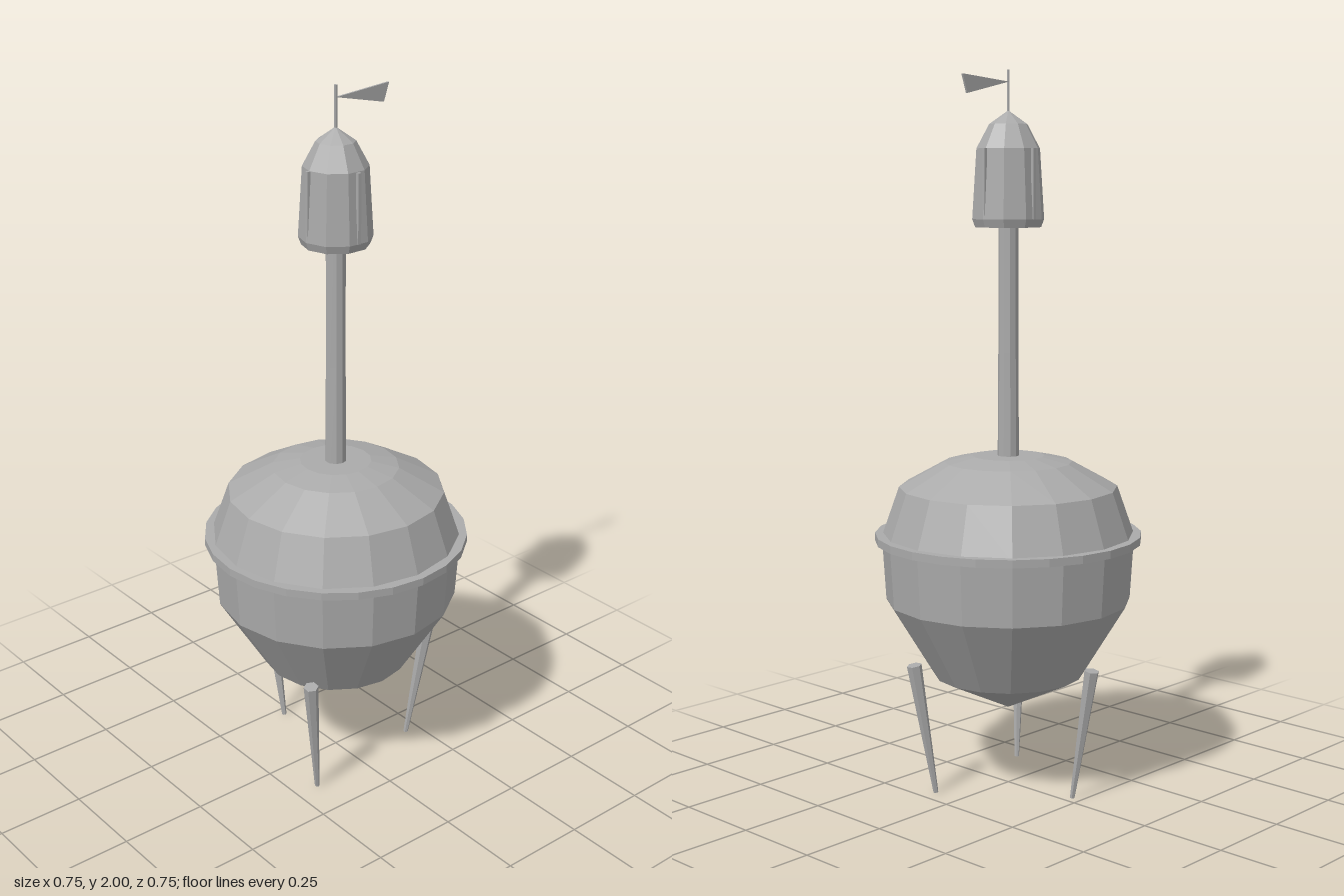
import * as THREE from 'three';

export function createModel() {
  const model = new THREE.Group();
  const metal = new THREE.MeshStandardMaterial({ color: 0xaaaaaa, flatShading: true, side: THREE.DoubleSide });
  metal.name = 'grey metal';

  const add = (name, geometry, parent = model) => {
    const mesh = new THREE.Mesh(geometry, metal);
    mesh.name = name;
    parent.add(mesh);
    return mesh;
  };
  const lathe = (points, sides, start = 0) =>
    new THREE.LatheGeometry(points.map(([r, y]) => new THREE.Vector2(r, y)), sides, start);

  // Faceted buoy body with a shallow pointed keel
  add('body', lathe([[0, 0.222], [0.21, 0.323], [0.343, 0.54], [0.354, 0.72],
    [0.305, 0.86], [0.178, 0.93], [0.1, 0.947], [0, 0.947]], 16));

  // Flange around the waist
  add('waistRing', lathe([[0.34, 0.708], [0.373, 0.708], [0.373, 0.73], [0.34, 0.73]], 24));

  // Two-stage pole
  const lowerPole = add('lowerPole', new THREE.CylinderGeometry(0.028, 0.03, 0.3, 10));
  lowerPole.position.y = 1.085;
  const upperPole = add('upperPole', new THREE.CylinderGeometry(0.027, 0.028, 0.57, 10));
  upperPole.position.y = 1.505;

  // Lantern: tapered housing open underneath, faceted cap and four corner rods
  const lantern = new THREE.Group();
  lantern.name = 'lantern';
  model.add(lantern);
  add('lanternHousing', lathe([[0.092, 1.578], [0.1, 1.6], [0.088, 1.79]], 10, Math.PI / 2), lantern);
  add('lanternCap', lathe([[0.088, 1.79], [0.053, 1.855], [0, 1.892]], 10, Math.PI / 2), lantern);
  for (let i = 0; i < 4; i++) {
    const a = i * Math.PI / 2;
    const rod = add('lanternRod', new THREE.BoxGeometry(0.01, 0.19, 0.01), lantern);
    rod.position.set(0.093 * Math.cos(a), 1.695, 0.093 * Math.sin(a));
  }

  // Mast and drooping pennant
  const mast = add('mast', new THREE.CylinderGeometry(0.004, 0.004, 0.12, 6));
  mast.position.y = 1.94;
  const outline = new THREE.Shape([[0, 1.968], [0.16, 1.932], [0.177, 1.982]]
    .map(([x, y]) => new THREE.Vector2(x, y)));
  const pennant = add('pennant', new THREE.ExtrudeGeometry(outline, { depth: 0.006, bevelEnabled: false }));
  pennant.position.z = -0.003;

  // Three tapered legs splayed outward
  const up = new THREE.Vector3(0, 1, 0);
  for (let i = 0; i < 3; i++) {
    const a = THREE.MathUtils.degToRad(23.3 + i * 120);
    const at = (r, y) => new THREE.Vector3(r * Math.cos(a), y, r * Math.sin(a));
    const foot = at(0.222, 0.001), top = at(0.284, 0.376);
    const leg = add('leg', new THREE.CylinderGeometry(0.021, 0.007, foot.distanceTo(top), 6));
    leg.position.copy(foot).add(top).multiplyScalar(0.5);
    leg.quaternion.setFromUnitVectors(up, top.sub(foot).normalize());
  }

  return model;
}
